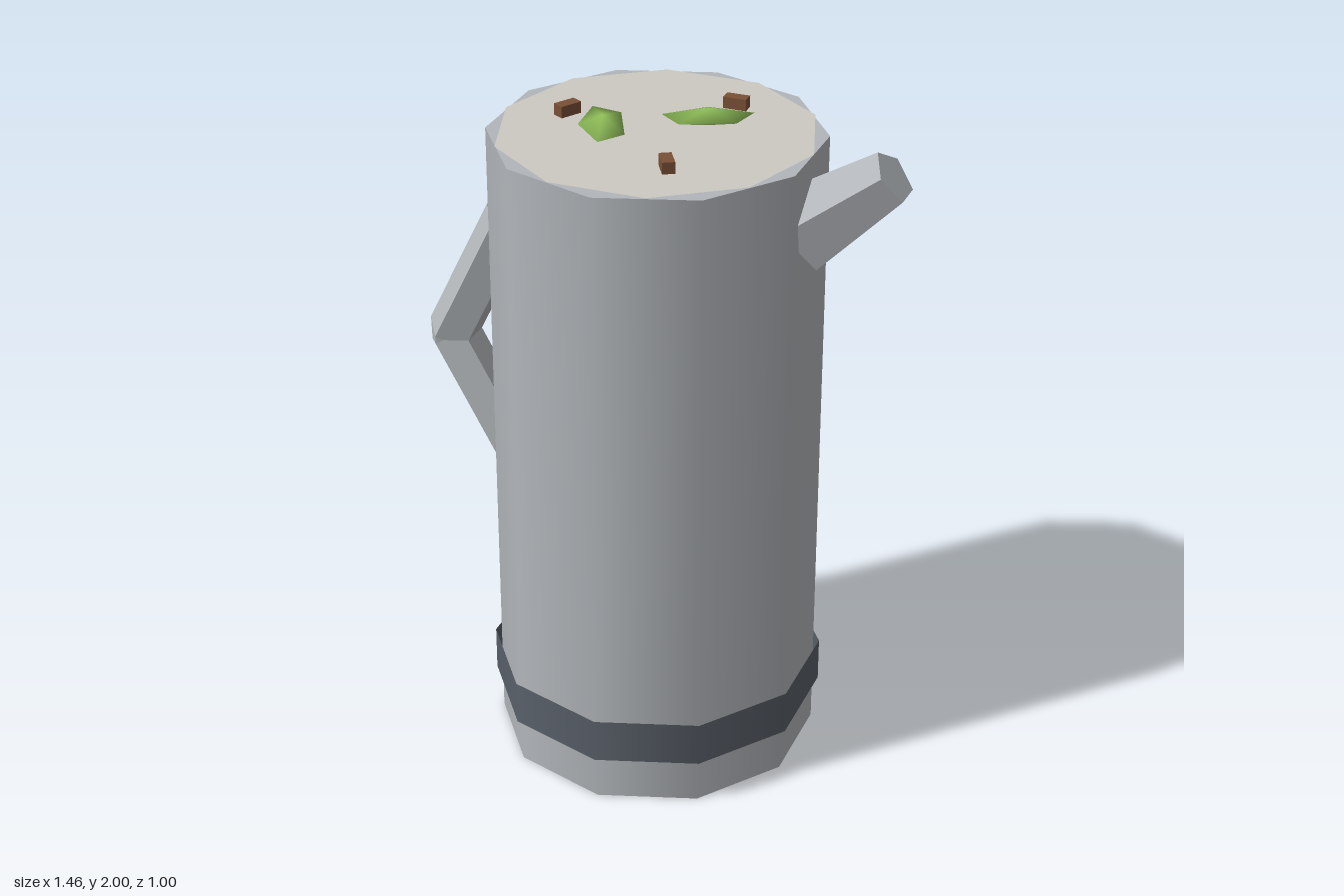
import * as THREE from 'three';

const mat = (name, color, side = THREE.FrontSide) => {
  const m = new THREE.MeshStandardMaterial({ color, side });
  m.name = name;
  return m;
};

// separate the faces so each one is shaded flat
const flat = (geo) => {
  const g = geo.toNonIndexed();
  g.computeVertexNormals();
  return g;
};

// open five-sided tube through straight pieces, given as [x, y, dirX, dirY] sections
function bentTube(sections, radius, sides = 5) {
  const pos = [], index = [];
  sections.forEach(([x, y, dx, dy], i) => {
    const t = new THREE.Vector2(dx, dy).normalize();
    for (let k = 0; k < sides; k++) {
      const a = (k / sides) * Math.PI * 2;
      const out = Math.cos(a) * radius;
      pos.push(x + t.y * out, y - t.x * out, Math.sin(a) * radius);
      if (i < sections.length - 1) {
        const p = i * sides + k, q = i * sides + ((k + 1) % sides);
        index.push(p, p + sides, q, p + sides, q + sides, q);
      }
    }
  });
  const g = new THREE.BufferGeometry();
  g.setAttribute('position', new THREE.Float32BufferAttribute(pos, 3));
  g.setIndex(index);
  return flat(g);
}

export function createModel() {
  const model = new THREE.Group();
  model.name = 'pitcher';

  const steel = mat('steel', 0xb2b6ba);
  const steelOpen = mat('steelOpen', 0xb2b6ba, THREE.DoubleSide);
  const bandGrey = mat('bandGrey', 0x596069, THREE.DoubleSide);
  const liquidTone = mat('liquid', 0xcdcac3);
  const leafGreen = mat('leafGreen', 0x94c45c);
  const barkBrown = mat('barkBrown', 0x7a5036);

  const add = (name, geo, material, x = 0, y = 0, z = 0) => {
    const mesh = new THREE.Mesh(geo, material);
    mesh.name = name;
    mesh.position.set(x, y, z);
    model.add(mesh);
    return mesh;
  };

  // ten-sided body and the open band round its foot
  add('body', new THREE.CylinderGeometry(0.48, 0.48, 1.945, 10), steel, 0, 0.9725);
  add('band', new THREE.CylinderGeometry(0.498, 0.498, 0.136, 10, 1, true), bandGrey, 0, 0.208);

  // liquid surface, its corners turned half a step from the body's
  const surface = new THREE.CircleGeometry(0.46, 10);
  surface.rotateX(-Math.PI / 2);
  add('liquidSurface', surface, liquidTone, 0, 1.949);

  // tapered five-sided spout, ridge upward
  const spout = flat(new THREE.CylinderGeometry(0.08, 0.127, 0.323, 5, 1, false, -Math.PI / 2));
  add('spout', spout, steel, 0.563, 1.821).rotation.z = -0.9;

  // bent handle with a sharp elbow
  const elbow = [-0.656, 1.203], top = [-0.458, 1.604], foot = [-0.439, 0.816];
  const upper = [elbow[0] - top[0], elbow[1] - top[1]];
  const lower = [foot[0] - elbow[0], foot[1] - elbow[1]];
  add('handle', bentTube([
    [...top, ...upper], [...elbow, ...upper], [...elbow, ...lower], [...foot, ...lower],
  ], 0.08), steelOpen);

  // floating leaves: flat five-sided double pyramids, each with centre and two slanted axes (x, z)
  const leaves = [
    { at: [0.116, -0.092], u: [0.126, -0.032], v: [-0.016, 0.079] },
    { at: [-0.136, 0.065], u: [-0.086, -0.05], v: [-0.0105, -0.116] },
  ];
  for (const { at, u, v } of leaves) {
    const leaf = new THREE.SphereGeometry(1, 5, 2);
    leaf.applyMatrix4(new THREE.Matrix4().makeBasis(
      new THREE.Vector3(u[0], 0, u[1]),
      new THREE.Vector3(0, 0.0265, 0),
      new THREE.Vector3(v[0], 0, v[1]),
    ));
    add('leaf', leaf, leafGreen, at[0], 1.9735, at[1]);
  }

  // three twig pieces spaced evenly round the surface
  for (let i = 0; i < 3; i++) {
    const a = (i * Math.PI * 2) / 3;
    const p = new THREE.Vector3(0.15, 1.969, -0.232).applyAxisAngle(new THREE.Vector3(0, 1, 0), a);
    add('twig', new THREE.BoxGeometry(0.068, 0.034, 0.036), barkBrown, p.x, p.y, p.z).rotation.y = -a;
  }

  return model;
}
